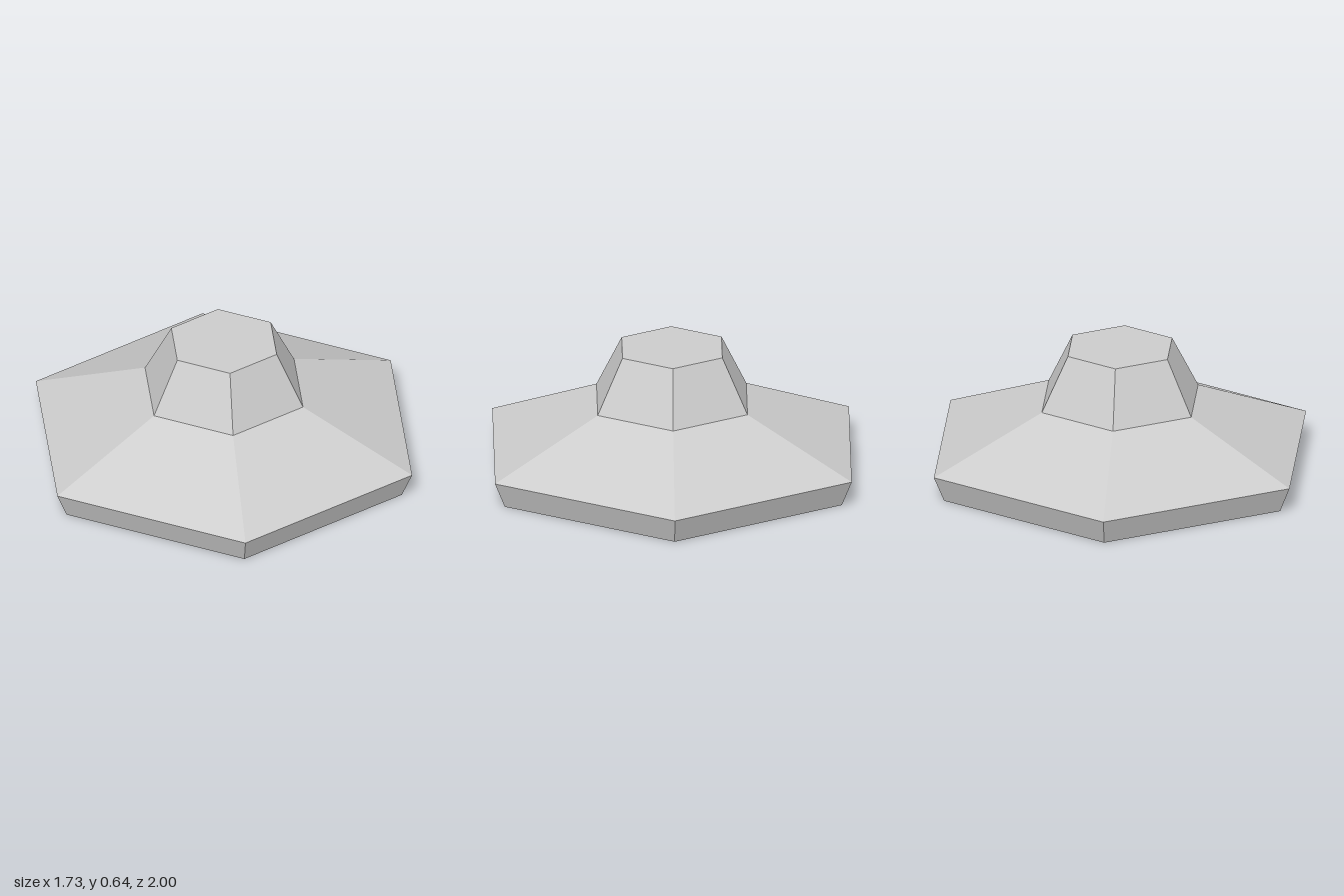
import * as THREE from 'three';

// Builds a six-sided ring surface from [radius, height] points, with corners on the z axis
function hexSurface(name, profile, material) {
  const points = profile.map(([r, y]) => new THREE.Vector2(r, y));
  const mesh = new THREE.Mesh(new THREE.LatheGeometry(points, 6), material);
  mesh.name = name;
  return mesh;
}

export function createModel() {
  const grey = new THREE.MeshStandardMaterial({ color: 0xcccccc, flatShading: true });
  grey.name = 'light grey';

  const model = new THREE.Group();
  model.name = 'hexagonalCap';
  model.add(
    // Outer skin, from the bottom edge to the flat top
    hexSurface('rim', [[0.945, 0], [1, 0.13]], grey),
    hexSurface('brim', [[1, 0.13], [0.42, 0.37]], grey),
    hexSurface('crown', [[0.42, 0.37], [0.28, 0.64], [0, 0.64]], grey),
    // Hollow underside, from the inner ceiling down to the bottom edge
    hexSurface('crownHollow', [[0, 0.53], [0.18, 0.53], [0.333, 0.26]], grey),
    hexSurface('brimUnderside', [[0.333, 0.26], [0.945, 0]], grey),
  );
  return model;
}
